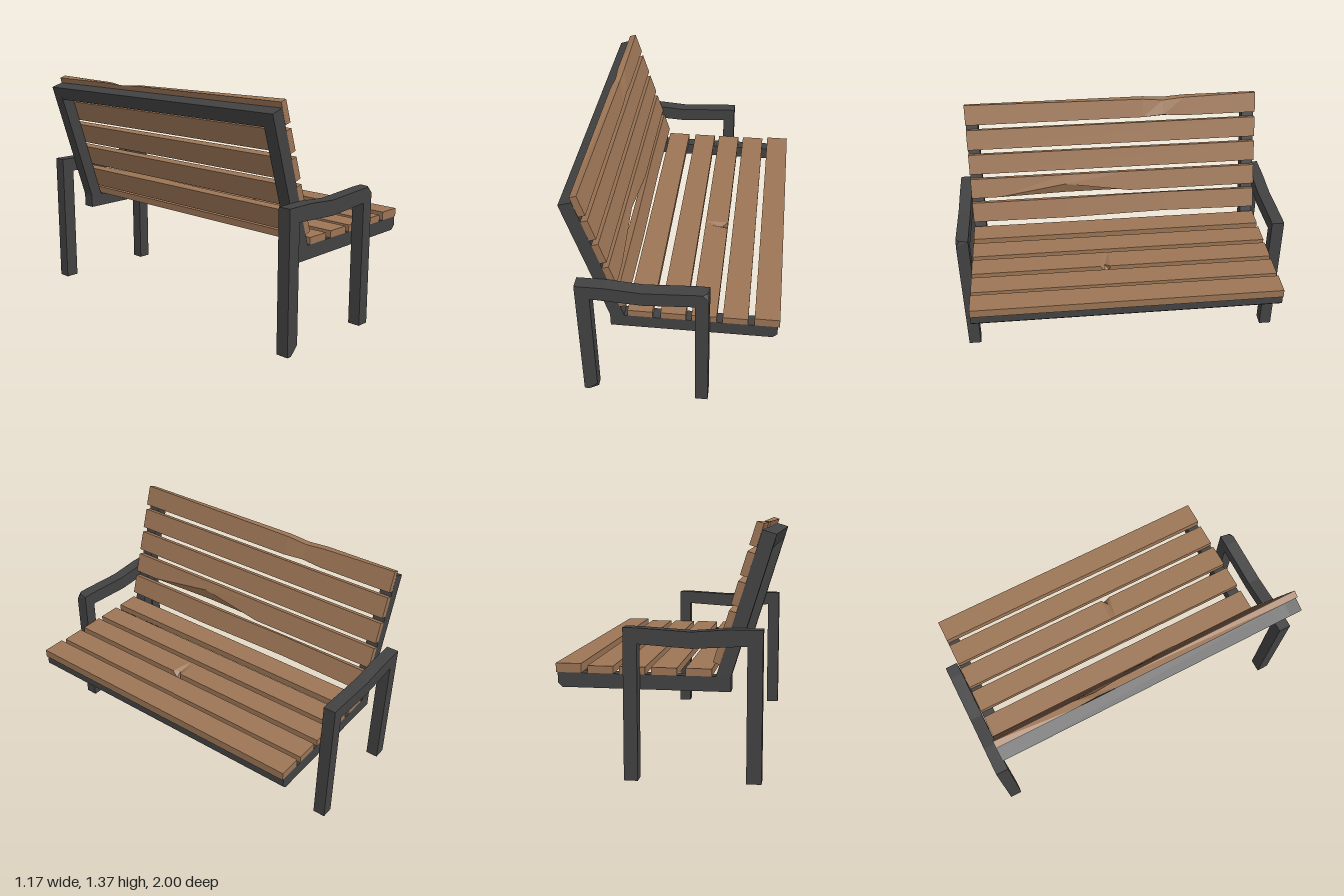
import * as THREE from 'three';

const metal = new THREE.MeshStandardMaterial({ color: 0x424242, flatShading: true });
const wood = new THREE.MeshStandardMaterial({ color: 0x9c7555, flatShading: true });
const TILT = 0.302; // lean of the backrest
const HALF = 0.925; // half length of the slats

// Side profile in x/y, extruded between two z values
function bar(name, points, z0, z1) {
  const shape = new THREE.Shape(points.map(([x, y]) => new THREE.Vector2(x, y)));
  const geo = new THREE.ExtrudeGeometry(shape, { depth: z1 - z0, bevelEnabled: false });
  geo.translate(0, 0, z0);
  const mesh = new THREE.Mesh(geo, metal);
  mesh.name = name;
  return mesh;
}

// Moves every vertex at one corner, to chip it
function chip(mesh, from, offset) {
  const p = mesh.geometry.attributes.position;
  const v = new THREE.Vector3();
  const target = new THREE.Vector3(...from);
  const move = new THREE.Vector3(...offset);
  for (let i = 0; i < p.count; i++) {
    v.fromBufferAttribute(p, i);
    if (v.distanceTo(target) < 0.002) p.setXYZ(i, ...v.add(move).toArray());
  }
}

// Plank along z with its face towards local +x; cuts are [z, faceSide, edgeSide, dx, dy]
function slat(name, [x, y], width, angle, stations = [], cuts = []) {
  const thick = 0.04;
  const zs = [-HALF, ...stations, HALF];
  const n = zs.length - 1;
  const geo = new THREE.BoxGeometry(thick, width, 2 * HALF, 1, 1, n);
  const p = geo.attributes.position;
  for (let i = 0; i < p.count; i++) {
    p.setZ(i, zs[Math.round((p.getZ(i) / (2 * HALF) + 0.5) * n)]);
  }
  const mesh = new THREE.Mesh(geo, wood);
  for (const [z, sx, sy, dx, dy] of cuts) {
    chip(mesh, [sx * thick / 2, sy * width / 2, z], [dx, dy, 0]);
  }
  mesh.position.set(x, y, 0);
  mesh.rotation.z = angle;
  mesh.name = name;
  return mesh;
}

export function createModel() {
  const bench = new THREE.Group();
  bench.name = 'bench';

  // Arm frames: two legs joined by a sagging armrest
  const armProfile = [
    [-0.53, 0.01], [-0.5, 0.01], [-0.45, 0.01], [-0.45, 0.06], [-0.45, 0.735], [-0.16, 0.717],
    [0.125, 0.735], [0.125, 0], [0.2, 0], [0.2, 0.785], [0.2, 0.82], [0.165, 0.82],
    [0.125, 0.82], [-0.16, 0.804], [-0.36, 0.82], [-0.53, 0.82],
  ];
  const leftArm = bar('leftArmFrame', armProfile, HALF, 1);
  chip(leftArm, [-0.45, 0.01, 1], [0, 0, -0.03]);
  chip(leftArm, [0.2, 0.82, 1], [-0.01, 0, -0.02]);
  bench.add(leftArm, bar('rightArmFrame', armProfile, -1, -HALF));

  // Seat rails with back posts, one L-shaped frame at each end
  const sideProfile = [
    [-0.36, 0.48], [0.55, 0.48], [0.575, 0.505], [0.575, 0.56], [-0.28, 0.56],
    [-0.515, 1.325], [-0.588, 1.302], [-0.36, 0.56],
  ];
  bench.add(bar('leftSideFrame', sideProfile, 0.85, HALF));
  bench.add(bar('rightSideFrame', sideProfile, -HALF, -0.85));

  // Long beams joining the side frames
  bench.add(bar('frontBeam',
    [[0.5, 0.48], [0.55, 0.48], [0.575, 0.505], [0.575, 0.56], [0.5, 0.56]], -0.85, 0.85));
  bench.add(bar('topBeam',
    [[-0.564, 1.226], [-0.491, 1.249], [-0.515, 1.325], [-0.588, 1.302]], -0.85, 0.85));

  // Seat slats, the third one chipped and the front one slightly proud
  [-0.19, -0.005, 0.167, 0.34, 0.515].forEach((x, i) => {
    const stations = i === 2 ? [0.08, 0.11, 0.14] : [];
    const cuts = i === 2 ? [[0.11, 1, -1, -0.015, 0.035]] : [];
    if (i === 4) for (const z of [-HALF, HALF]) for (const e of [-1, 1]) cuts.push([z, 1, e, 0.01, 0]);
    bench.add(slat('seatSlat' + (i + 1), [x, 0.58], 0.14, Math.PI / 2, stations, cuts));
  });

  // Backrest slats, bottom to top, some worn or warped
  const wear = [
    [[-0.33, 0.3], [[-0.33, 1, 1, 0, 0.008], [-0.33, 1, -1, 0, 0.008], [0.3, 1, -1, 0, -0.004]]],
    [[-0.1, 0.32, 0.75], [[0.32, 1, -1, 0.004, 0.065]]],
    [[], []],
    [[], []],
    [[-0.46, -0.33, -0.2], [[-0.33, 1, 1, -0.01, -0.025], [-0.33, -1, 1, 0.005, -0.008],
      [-0.33, 1, -1, 0, 0.01], [-0.46, 1, 1, 0, -0.012], [-0.2, 1, 1, 0, -0.012]]],
  ];
  wear.forEach(([stations, cuts], i) => {
    const centre = [-0.302 - 0.046 * i, 0.69 + 0.153 * i];
    bench.add(slat('backSlat' + (i + 1), centre, 0.127, TILT, stations, cuts));
  });

  return bench;
}
